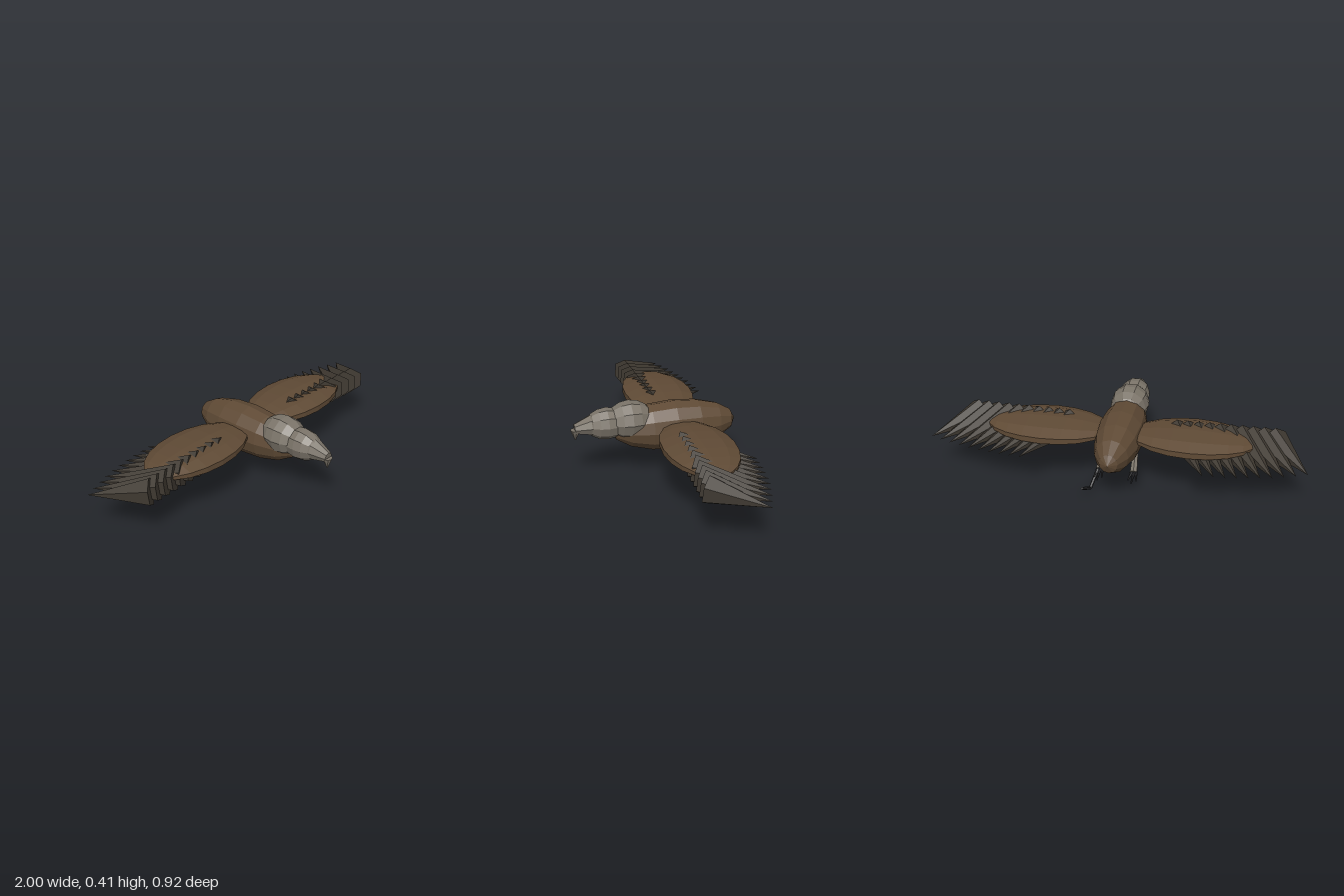
import * as THREE from 'three';

const mat = (name, color) => {
  const m = new THREE.MeshStandardMaterial({ color, flatShading: true });
  m.name = name;
  return m;
};
const V = (x, y, z) => new THREE.Vector3(x, y, z);

export function createModel() {
  const model = new THREE.Group();
  model.name = 'bird';
  const brown = mat('brown plumage', 0x5f4a35);
  const feather = mat('dark feather', 0x3f3931);
  const grey = mat('grey head', 0x7b7469);
  const black = mat('black talon', 0x27272a);

  const add = (name, geo, material, parent = model) => {
    const mesh = new THREE.Mesh(geo, material);
    mesh.name = name;
    parent.add(mesh);
    return mesh;
  };

  // Low-poly ellipsoid with its poles along z, or along x
  const ellipsoid = (name, center, radii, sides, rings, material, alongX, parent) => {
    const geo = new THREE.SphereGeometry(1, sides, rings);
    if (alongX) geo.rotateZ(-Math.PI / 2);
    else geo.rotateX(Math.PI / 2);
    geo.scale(...radii).translate(...center);
    return add(name, geo, material, parent);
  };

  // Tapered rod from a to b, with one corner of its section turned upward
  const rod = (name, a, b, ra, rb, sides, material, parent) => {
    const dir = b.clone().sub(a);
    const geo = new THREE.CylinderGeometry(rb, ra, dir.length(), sides);
    const y = dir.normalize();
    const ref = Math.abs(y.y) > 0.95 ? V(0, 0, 1) : V(0, 1, 0);
    const x = y.clone().cross(ref).normalize();
    const z = x.clone().cross(y);
    geo.applyMatrix4(new THREE.Matrix4().makeBasis(x, y, z));
    const mid = a.clone().add(b).multiplyScalar(0.5);
    geo.translate(mid.x, mid.y, mid.z);
    return add(name, geo, material, parent);
  };

  // Body, neck and head
  ellipsoid('body', [0, 0.258, -0.11], [0.127, 0.138, 0.35], 12, 8, brown);
  ellipsoid('neck', [0, 0.315, 0.137], [0.106, 0.106, 0.13], 10, 8, grey);
  ellipsoid('head', [0, 0.307, 0.265], [0.084, 0.087, 0.118], 10, 8, grey);

  // Beak and its hooked tip
  rod('beak', V(0, 0.306, 0.342), V(0, 0.293, 0.44), 0.06, 0.028, 8, grey);
  rod('beakHook', V(0, 0.288, 0.435), V(0, 0.23, 0.437), 0.028, 0.003, 8, grey);

  for (const s of [1, -1]) {
    const side = s > 0 ? 'left' : 'right';

    // Wing with a row of overlapping pointed flight feathers
    const wing = new THREE.Group();
    wing.name = side + 'Wing';
    model.add(wing);
    ellipsoid('wingArm', [s * 0.39, 0.285, -0.13], [0.335, 0.052, 0.2], 10, 10, brown, true, wing);
    const count = 10;
    for (let i = 0; i < count; i++) {
      const t = i / (count - 1);
      const base = V(s * (0.29 + 0.515 * t), 0.27, -0.05 + 0.015 * t);
      const tip = V(s * (0.48 + 0.52 * t), 0.232, -0.415 + 0.12 * t * t);
      rod('flightFeather', base, tip, 0.077, 0, 6, feather, wing);
    }

    // Leg with three toes
    const leg = new THREE.Group();
    leg.name = side + 'Leg';
    model.add(leg);
    const ankle = V(s * 0.092, 0.097, -0.225);
    rod('shank', V(s * 0.085, 0.17, -0.14), ankle, 0.016, 0.021, 6, grey, leg);
    for (const k of [-1, 0, 1]) {
      const end = V(s * 0.092 + k * 0.022, 0.07 + 0.004 * k * k, -0.3 + 0.025 * Math.abs(k));
      rod('toe', V(s * 0.092 + k * 0.01, 0.097, -0.215), end, 0.011, 0.003, 6, black, leg);
    }
  }

  // Long bent talon on the left foot
  const talon = new THREE.Group();
  talon.name = 'bentTalon';
  model.add(talon);
  const bend = V(0.13, 0.011, -0.292);
  rod('upperTalon', V(0.1, 0.1, -0.232), bend, 0.009, 0.009, 6, black, talon);
  rod('lowerTalon', bend, V(0.15, 0.068, -0.392), 0.009, 0.008, 6, black, talon);

  return model;
}
